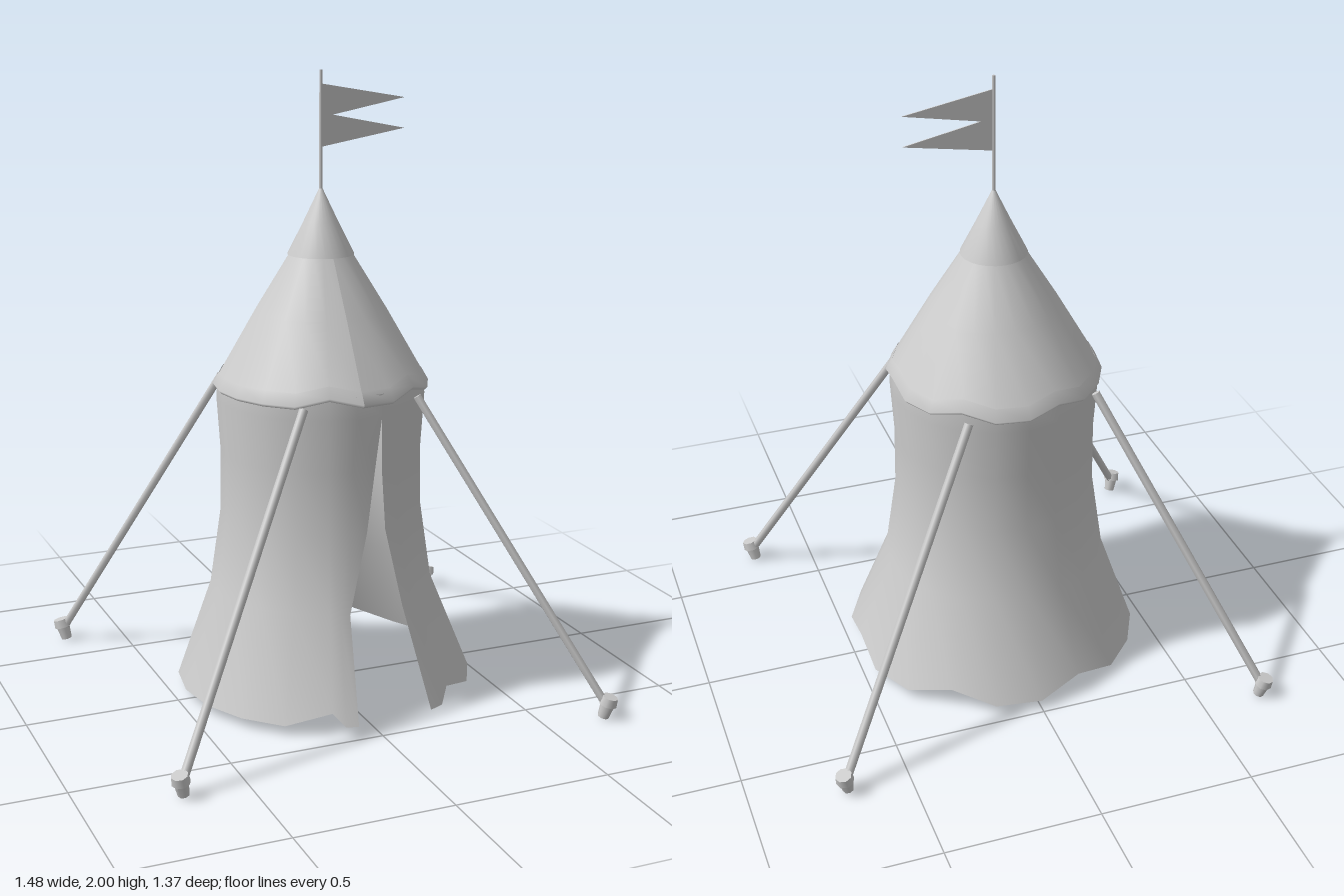
import * as THREE from 'three';

const grey = new THREE.MeshStandardMaterial({ color: 0xcccccc });
const cloth = new THREE.MeshStandardMaterial({ color: 0xcccccc, side: THREE.DoubleSide });
const STEP = 18;
const rad = THREE.MathUtils.degToRad;

// Cloth gathers upward at these angles (degrees from the front towards +x)
const lifted = (deg) => [36, 90, 144, 198, 342].includes(Math.round(deg) % 360);

function part(name, geometry, material = grey) {
  const mesh = new THREE.Mesh(geometry, material);
  mesh.name = name;
  return mesh;
}

// Point at a compass angle, radius and height
const polar = (deg, r, y) => [r * Math.sin(rad(deg)), y, r * Math.cos(rad(deg))];

// Skin a list of rings, ordered from bottom to top
function loft(rings) {
  const n = rings[0].length;
  const index = [];
  for (let j = 0; j < rings.length - 1; j++) {
    for (let i = 0; i < n - 1; i++) {
      const a = j * n + i;
      index.push(a, a + 1, a + n, a + 1, a + n + 1, a + n);
    }
  }
  const g = new THREE.BufferGeometry();
  g.setAttribute('position', new THREE.Float32BufferAttribute(rings.flat(2), 3));
  g.setIndex(index);
  g.computeVertexNormals();
  return g;
}

// Full ring of 20 sides; lifted corners move up and change radius
function scallopRing(r, y, lift, pull) {
  const ring = [];
  for (let d = 0; d <= 360; d += STEP) {
    const up = lifted(d);
    ring.push(polar(d, r + (up ? pull : 0), y + (up ? lift : 0)));
  }
  return ring;
}

// Wall with a slit: radius, height, right edge and left edge angle per ring
function wallGeometry() {
  const profile = [
    [0.483, 0.03, 23, -8.4],
    [0.362, 0.35, 22.5, -8],
    [0.326, 0.6, 15.5, 3.5],
    [0.324, 0.8, 13, 8.5],
    [0.335, 0.97, 11.5, 11.5],
    [0.33, 1.04, 11.5, 11.5],
  ];
  return loft(profile.map(([r, y, right, left], row) => {
    const angles = [right, (right + 36) / 2];
    for (let d = 36; d <= 342; d += STEP) angles.push(d);
    angles.push((342 + left + 360) / 2, left + 360);
    return angles.map((d) => {
      const hem = row === 0;
      const up = hem && lifted(d);
      const radius = r + (hem ? 0.01 * Math.sin(rad(d)) : 0) - (up ? 0.018 : 0);
      return polar(d, radius, y + (up ? 0.04 : 0));
    });
  }));
}

// Round bar between two points
function bar(name, from, to, rTop, rBottom, sides) {
  const a = new THREE.Vector3(...from), b = new THREE.Vector3(...to);
  const dir = b.clone().sub(a);
  const mesh = part(name, new THREE.CylinderGeometry(rTop, rBottom, dir.length(), sides));
  mesh.position.copy(a).add(b).multiplyScalar(0.5);
  mesh.quaternion.setFromUnitVectors(new THREE.Vector3(0, 1, 0), dir.normalize());
  return mesh;
}

export function createModel() {
  const model = new THREE.Group();
  model.name = 'tent';

  model.add(part('wall', wallGeometry(), cloth));

  // Conical roof, ending in a scalloped eave
  model.add(part('roof', loft([
    scallopRing(0.327, 1.045, 0.025, -0.01),
    scallopRing(0.21, 1.25, 0, 0),
    scallopRing(0.1, 1.43, 0, 0),
    scallopRing(0.004, 1.615, 0, 0),
  ]), cloth));

  // Valance folded over the eave
  model.add(part('valance', loft([
    scallopRing(0.338, 1.005, 0.025, -0.006),
    scallopRing(0.346, 1.015, 0.025, -0.008),
    scallopRing(0.325, 1.052, 0.022, -0.01),
  ]), cloth));

  // Cap over the roof tip
  const capProfile = [[0.095, 1.428], [0.106, 1.428], [0.055, 1.53], [0.005, 1.635], [0, 1.637]];
  model.add(part('roofCap', new THREE.LatheGeometry(
    capProfile.map(([x, y]) => new THREE.Vector2(x, y)), 24), cloth));

  // Flagpole and swallow-tailed pennant
  model.add(bar('flagpole', [0, 1.6, 0], [0, 2, 0], 0.005, 0.006, 8));
  const outline = [[0, 1.958], [0.285, 1.907], [0.04, 1.861], [0.285, 1.811], [0, 1.763]];
  const flag = part('flag', new THREE.ExtrudeGeometry(
    new THREE.Shape(outline.map(([x, y]) => new THREE.Vector2(x, y))),
    { depth: 0.004, bevelEnabled: false }));
  flag.position.z = -0.002;
  model.add(flag);

  // Guy ropes, each tied to a peg in the ground
  const anchors = [[0.215, 0.265], [0.18, -0.29], [-0.175, 0.285], [-0.255, -0.24]];
  for (const [x, z] of anchors) {
    const sx = Math.sign(x), sz = Math.sign(z);
    const guy = new THREE.Group();
    guy.name = 'guyLine';
    guy.add(bar('rope', [x, 1.005, z], [sx * 0.705, 0.04, sz * 0.655], 0.014, 0.014, 6));
    guy.add(bar('peg', [sx * 0.697, 0.003, sz * 0.648], [sx * 0.709, 0.055, sz * 0.658], 0.024, 0.018, 8));
    guy.add(bar('pegHead', [sx * 0.707, 0.045, sz * 0.656], [sx * 0.713, 0.072, sz * 0.661], 0.026, 0.029, 8));
    model.add(guy);
  }

  return model;
}
